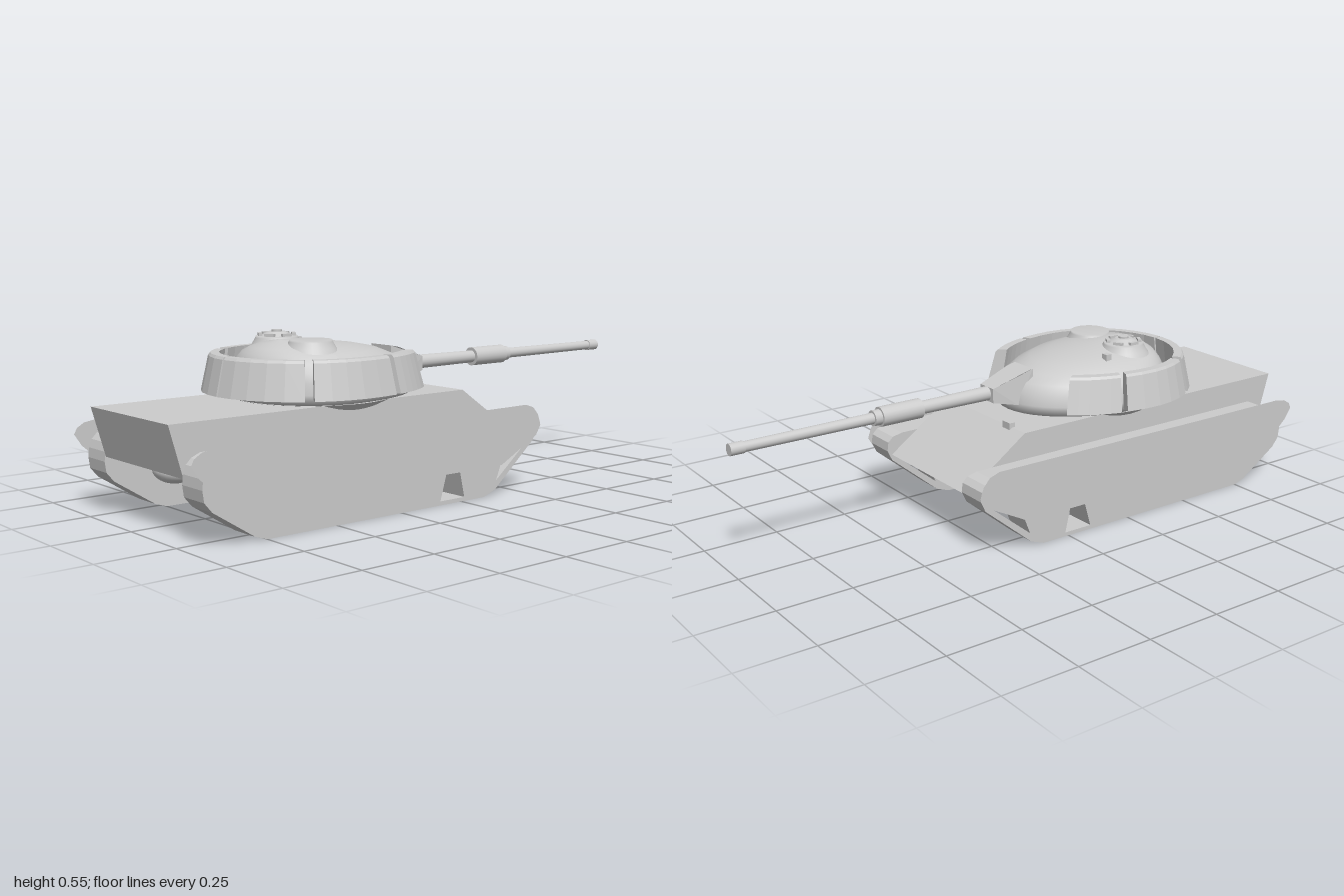
import * as THREE from 'three';

const grey = new THREE.MeshStandardMaterial({ color: 0xcccccc });
const thin = new THREE.MeshStandardMaterial({ color: 0xcccccc, side: THREE.DoubleSide });

function add(parent, name, geometry, x = 0, y = 0, z = 0, material = grey) {
  const mesh = new THREE.Mesh(geometry, material);
  mesh.name = name;
  mesh.position.set(x, y, z);
  parent.add(mesh);
  return mesh;
}

// Shape from [z, y] points
const outline = (pts) => new THREE.Shape(pts.map(([z, y]) => new THREE.Vector2(z, y)));

// Side profile extruded across the width, centred on x = 0
function slab(shape, width) {
  const g = new THREE.ExtrudeGeometry(shape, { depth: width, bevelEnabled: false });
  return g.rotateY(-Math.PI / 2).translate(width / 2, 0, 0);
}

// Skin over rows of [x, y, z] points
function skin(rows, flat) {
  const n = rows[0].length, index = [];
  for (let i = 0; i < rows.length - 1; i++) {
    for (let j = 0; j < n - 1; j++) {
      const a = i * n + j, d = a + n;
      index.push(a, a + 1, d + 1, a, d + 1, d);
    }
  }
  let g = new THREE.BufferGeometry();
  g.setAttribute('position', new THREE.Float32BufferAttribute(rows.flat(2), 3));
  g.setIndex(index);
  if (flat) g = g.toNonIndexed();
  g.computeVertexNormals();
  return g;
}

// Egg-shaped plan around z = cz: longer at the gun end (-z) than at the rear
function egg(t, rx, front, rear, s, y, cz) {
  const k = Math.sin(t);
  return [rx * s * Math.cos(t), y, cz + s * k * (k < 0 ? front : rear)];
}

// One curved armour plate between two angles in degrees
function armourPlate(from, to) {
  const section = [[1, 0.367], [0.925, 0.477], [0.905, 0.485], [0.82, 0.485], [0.87, 0.367], [1, 0.367]];
  const steps = 5, rows = [];
  for (let i = 0; i <= steps; i++) {
    const t = THREE.MathUtils.degToRad(from + ((to - from) * i) / steps);
    rows.push(section.map(([s, y]) => egg(t, 0.32, 0.42, 0.33, s, y, 0.37)));
  }
  const cap = (row) => {
    const c = [0, 1, 2].map((k) => row.slice(0, 5).reduce((sum, p) => sum + p[k], 0) / 5);
    return row.map(() => c);
  };
  return skin([cap(rows[0]), ...rows, cap(rows[steps])], true);
}

function createHull() {
  const hull = new THREE.Group();
  hull.name = 'hull';
  const body = outline([[1, 0.342], [-0.1, 0.342], [-0.325, 0.185], [-0.2, 0.12], [0.955, 0.185]]);
  add(hull, 'hullBody', slab(body, 0.444));
  add(hull, 'driverPeriscope', new THREE.BoxGeometry(0.04, 0.025, 0.02), -0.135, 0.345, -0.1);
  // Rounded housing under the rear
  const housing = add(hull, 'rearHousing', new THREE.SphereGeometry(1, 24, 12), 0.07, 0.18, 0.9);
  housing.scale.set(0.077, 0.036, 0.05);
  return hull;
}

function createTrack(side) {
  const track = new THREE.Group();
  track.name = side > 0 ? 'leftTrack' : 'rightTrack';
  const belt = outline([
    [0.9, 0.255], [0.93, 0.242], [0.947, 0.225], [0.957, 0.2], [0.96, 0.17], [0.955, 0.135], [0.93, 0.105],
    [0.79, 0.015], [0.75, 0.002], [-0.1, 0.002], [-0.15, 0.02], [-0.325, 0.165],
    [-0.342, 0.2], [-0.338, 0.23], [-0.32, 0.247], [-0.285, 0.255],
  ]);
  // Openings between the lower run and the skirt
  const openings = [
    [[0.09, 0.015], [0.06, 0.115], [0.01, 0.115], [-0.013, 0.015]],
    [[-0.155, 0.05], [-0.175, 0.1], [-0.31, 0.175]],
  ];
  for (const pts of openings) belt.holes.push(new THREE.Path(pts.map(([z, y]) => new THREE.Vector2(z, y))));
  add(track, 'trackBelt', slab(belt, 0.104), side * 0.274);

  // Thin side skirt, hung just outside the belt
  const skirt = outline([
    [1, 0.243], [0.99, 0.262], [0.965, 0.277], [0.92, 0.284], [0.6, 0.284], [-0.28, 0.288], [-0.315, 0.276],
    [-0.338, 0.25], [-0.35, 0.215], [-0.33, 0.182], [-0.17, 0.1], [0.75, 0.1], [0.83, 0.11],
    [0.89, 0.135], [0.935, 0.17], [0.975, 0.205],
  ]);
  add(track, 'sideSkirt', new THREE.ShapeGeometry(skirt).rotateY(-Math.PI / 2), side * 0.336, 0, 0, thin);
  return track;
}

function createTurret() {
  const turret = new THREE.Group();
  turret.name = 'turret';
  // Ring under the turret, overhanging the hull sides
  add(turret, 'turretRing', new THREE.CylinderGeometry(0.256, 0.19, 0.045, 40), 0, 0.32, 0.34);

  // Egg-shaped body; the roof peak leans to the rear, leaving a steep back
  const levels = [
    [0.345, 0], [0.345, 1], [0.375, 1], [0.41, 0.98], [0.44, 0.94], [0.465, 0.86],
    [0.487, 0.74], [0.502, 0.58], [0.515, 0.36], [0.527, 0.001],
  ];
  const rows = levels.map(([y, s]) => {
    const row = [];
    for (let j = 0; j <= 48; j++) {
      row.push(egg((-j / 48) * Math.PI * 2, 0.257, 0.375, 0.23, s, y, 0.37 + 0.1 * (1 - s)));
    }
    return row;
  });
  add(turret, 'turretBody', skin(rows, false));

  // Spaced armour plates, mirrored left and right
  for (const [a, b] of [[-46, -19], [-16, 31], [36, 89.3]]) {
    add(turret, 'armourPlate', armourPlate(a, b));
    add(turret, 'armourPlate', armourPlate(180 - b, 180 - a));
  }

  // Flared hatch mounts
  const flare = [[0.105, 0.46], [0.093, 0.486], [0.078, 0.505], [0.068, 0.523], [0.066, 0.529], [0, 0.529]]
    .map(([r, y]) => new THREE.Vector2(r, y));
  for (const x of [-0.09, 0.09]) add(turret, 'hatchMount', new THREE.LatheGeometry(flare, 32), x, 0, 0.415);

  // Commander's cupola with six periscopes
  add(turret, 'cupolaLid', new THREE.CylinderGeometry(0.028, 0.055, 0.014, 24), -0.09, 0.535, 0.415);
  add(turret, 'cupolaKnob', new THREE.CylinderGeometry(0.017, 0.017, 0.008, 12), -0.09, 0.544, 0.415);
  for (let i = 0; i < 6; i++) {
    const t = (i / 6) * Math.PI * 2;
    const block = add(turret, 'periscope', new THREE.BoxGeometry(0.012, 0.01, 0.034),
      -0.09 + 0.053 * Math.cos(t), 0.533, 0.415 + 0.053 * Math.sin(t));
    block.rotation.y = -t;
  }
  add(turret, 'roofSight', new THREE.BoxGeometry(0.024, 0.025, 0.022), -0.14, 0.503, 0.3);
  return turret;
}

function createGun() {
  const gun = new THREE.Group();
  gun.name = 'gun';
  // Tapered mantlet: wide at the turret, narrow at the barrel
  const mantlet = slab(outline([[0.06, 0.484], [0.03, 0.478], [-0.09, 0.438], [-0.09, 0.39], [0, 0.37], [0.06, 0.37]]), 0.1);
  const p = mantlet.attributes.position;
  for (let i = 0; i < p.count; i++) {
    if (p.getZ(i) < -0.05) p.setX(i, p.getX(i) * 0.72);
  }
  mantlet.computeVertexNormals();
  add(gun, 'mantlet', mantlet);

  // Barrel sections: [name, start z, end z, start radius, end radius]
  const sections = [
    ['barrelBase', -0.05, -0.36, 0.024, 0.021],
    ['boreEvacuator', -0.35, -0.497, 0.032, 0.032],
    ['barrelCollar', -0.497, -0.522, 0.025, 0.025],
    ['barrelTube', -0.5, -0.98, 0.018, 0.016],
    ['muzzle', -0.955, -1, 0.019, 0.019],
  ];
  for (const [name, a, b, ra, rb] of sections) {
    const g = new THREE.CylinderGeometry(rb, ra, a - b, 20).rotateX(-Math.PI / 2);
    add(gun, name, g, 0, 0.415, (a + b) / 2);
  }
  return gun;
}

export function createModel() {
  const model = new THREE.Group();
  model.name = 'tank';
  model.add(createHull(), createTrack(1), createTrack(-1), createTurret(), createGun());
  return model;
}
